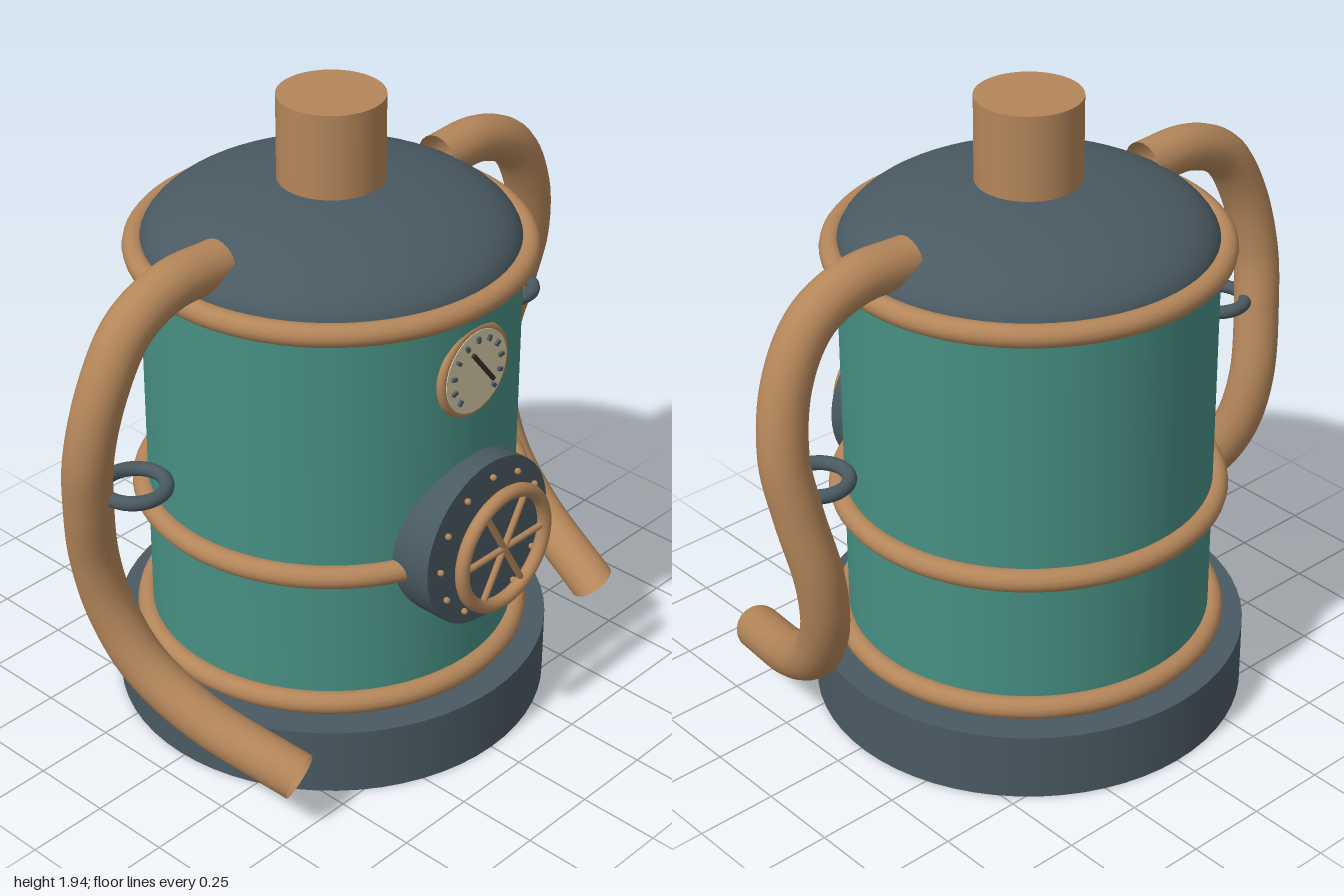
import * as THREE from 'three';

export function createModel() {
  const model = new THREE.Group();
  model.name = 'boiler';
  const mat = (name, color) => {
    const m = new THREE.MeshStandardMaterial({ color });
    m.name = name;
    return m;
  };
  const bronze = mat('bronze', 0xb4865a);
  const slate = mat('slate', 0x4a5a62);
  const teal = mat('teal', 0x478f83);
  const cream = mat('cream', 0xd8cdaa);
  const dark = mat('darkBrown', 0x3f2f25);
  bronze.side = THREE.DoubleSide;

  const CZ = -0.018; // axis of the tank
  const add = (name, geometry, material, x, y, z, parent = model) => {
    const mesh = new THREE.Mesh(geometry, material);
    mesh.name = name;
    mesh.position.set(x, y, z);
    parent.add(mesh);
    return mesh;
  };
  const drum = (name, r, y0, y1, material) =>
    add(name, new THREE.CylinderGeometry(r, r, y1 - y0, 64), material, 0, (y0 + y1) / 2, CZ);

  // Tank: base, body, dome and chimney
  drum('base', 0.66, 0, 0.213, slate);
  drum('body', 0.552, 0.2, 1.495, teal);
  const dome = add('dome', new THREE.SphereGeometry(0.551, 64, 20, 0, Math.PI * 2, 0, Math.PI / 2), slate, 0, 1.49, CZ);
  dome.scale.y = 0.2 / 0.551;
  drum('chimney', 0.156, 1.62, 1.938, bronze);

  // Bands around the body
  for (const y of [0.253, 0.697, 1.484]) {
    add('band', new THREE.TorusGeometry(0.565, 0.034, 14, 72), bronze, 0, y, CZ).rotation.x = Math.PI / 2;
  }

  // Pressure gauge
  const gauge = new THREE.Group();
  gauge.name = 'gauge';
  gauge.position.set(0, 1.266, 0);
  model.add(gauge);
  add('gaugeRing', new THREE.TorusGeometry(0.129, 0.016, 12, 48), bronze, 0, 0, 0.521, gauge);
  add('gaugeFace', new THREE.CylinderGeometry(0.127, 0.127, 0.03, 48), cream, 0, 0, 0.524, gauge).rotation.x = Math.PI / 2;
  for (let i = 0; i < 11; i++) {
    const a = THREE.MathUtils.degToRad(225 - 27 * i);
    add('tick', new THREE.BoxGeometry(0.018, 0.011, 0.009), slate, 0.101 * Math.cos(a), 0.101 * Math.sin(a), 0.543, gauge).rotation.z = a;
  }
  add('needle', new THREE.BoxGeometry(0.012, 0.145, 0.009), dark, 0.013, 0.013, 0.552, gauge).rotation.z = 0.68;

  // Round hatch with bolts and a hand wheel
  const hatch = new THREE.Group();
  hatch.name = 'hatch';
  hatch.position.set(0, 0.729, 0);
  model.add(hatch);
  add('hatchPlate', new THREE.CylinderGeometry(0.262, 0.262, 0.16, 56), slate, 0, 0, 0.52, hatch).rotation.x = Math.PI / 2;
  for (let i = 0; i < 12; i++) {
    const a = i * Math.PI / 6;
    add('bolt', new THREE.SphereGeometry(0.01, 10, 8), bronze, 0.218 * Math.cos(a), 0.218 * Math.sin(a), 0.612, hatch);
  }
  add('wheelRim', new THREE.TorusGeometry(0.181, 0.021, 14, 56), bronze, 0, 0, 0.66, hatch);
  for (let i = 0; i < 3; i++) {
    add('wheelSpokes', new THREE.CylinderGeometry(0.01, 0.01, 0.36, 10), bronze, 0, 0, 0.66, hatch).rotation.z = Math.PI / 2 + i * Math.PI / 3;
  }

  // Side pipes with their support rings
  const pathPoints = [
    [0.45, 1.578, CZ], [0.64, 1.578, CZ], [0.79, 1.51, CZ], [0.885, 1.355, -0.025],
    [0.926, 1.15, -0.05], [0.91, 0.98, -0.08], [0.87, 0.76, -0.112], [0.838, 0.58, -0.085],
    [0.805, 0.42, 0.005], [0.755, 0.295, 0.18], [0.665, 0.19, 0.485],
  ];
  for (const s of [-1, 1]) {
    const path = new THREE.CatmullRomCurve3(pathPoints.map(([x, y, z]) => new THREE.Vector3(s * x, y, z)));
    add(s > 0 ? 'leftPipe' : 'rightPipe', new THREE.TubeGeometry(path, 72, 0.071, 20), bronze, 0, 0, 0);
    add('pipeRing', new THREE.TorusGeometry(0.09, 0.021, 12, 36), slate, s * 0.792, 1.012, CZ).rotation.x = Math.PI / 2;
  }
  return model;
}
